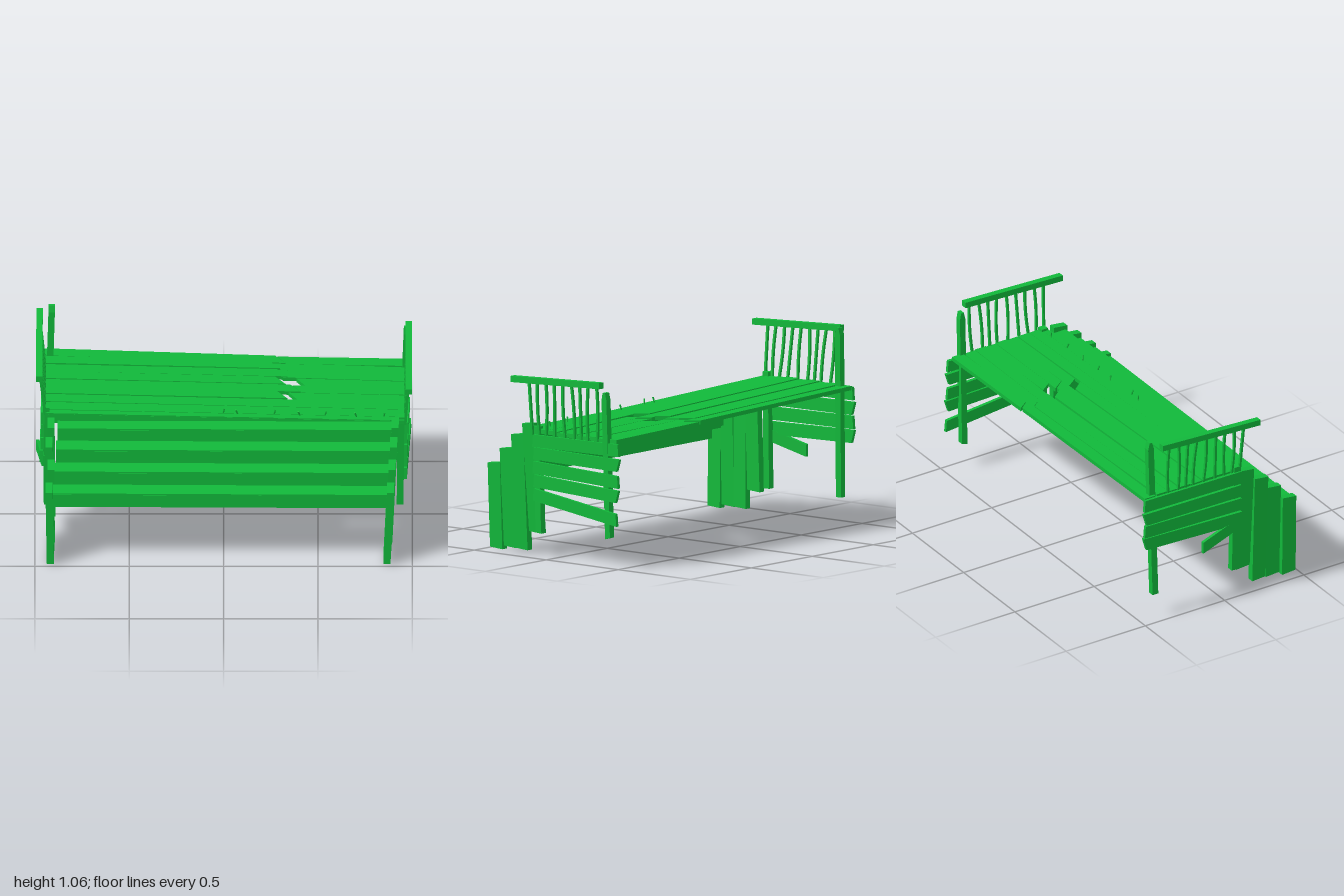
import * as THREE from 'three';

const material = new THREE.MeshStandardMaterial({ color: 0x11b83a, flatShading: true, side: THREE.DoubleSide });
const SEGMENTS = 6;
const V = (x, y, z) => new THREE.Vector3(x, y, z);

// Board from a to b; w and t are its full width and thickness vectors.
// cutA/cutB skew the ends, bow bends the middle, tip narrows end b.
function board(parent, name, a, b, w, t, { cutA = 0, cutB = 0, bow = null, tip = 1 } = {}) {
  const axis = b.clone().sub(a);
  const length = axis.length();
  const dir = axis.clone().normalize();
  if (dir.clone().cross(w).dot(t) < 0) t = t.clone().negate();
  const geometry = new THREE.BoxGeometry(1, 1, 1, SEGMENTS, 1, 1);
  const pos = geometry.attributes.position;
  for (let i = 0; i < pos.count; i++) {
    let s = pos.getX(i) + 0.5;
    const v = pos.getY(i), u = pos.getZ(i);
    if (tip < 1 && s < 0.99 && s > 0.99 - 1 / SEGMENTS) s = 1 - 0.04 / length;
    const p = a.clone().addScaledVector(axis, s);
    p.addScaledVector(w, v * (s === 1 ? tip : 1)).addScaledVector(t, u);
    p.addScaledVector(dir, v * (cutA * (1 - s) + cutB * s));
    if (bow) p.addScaledVector(bow, Math.sin(Math.PI * s));
    pos.setXYZ(i, p.x, p.y, p.z);
  }
  geometry.computeVertexNormals();
  const mesh = new THREE.Mesh(geometry, material);
  mesh.name = name;
  parent.add(mesh);
  return mesh;
}

function group(parent, name) {
  const g = new THREE.Group();
  g.name = name;
  parent.add(g);
  return g;
}

const deckY = x => 0.73 - (x + 0.95) * 0.029;

// Planked floor, snapped in two near x = 0.3
function buildDeck(root) {
  const deck = group(root, 'deck');
  // [z at left, z at break, z at right, left part ends at, right part starts at]
  const rows = [
    [-0.437, -0.42, -0.42, 0.30, 0.31],
    [-0.36, -0.362, -0.343, 0.27, 0.28],
    [-0.287, -0.292, -0.275, 0.31, 0.29],
    [-0.215, -0.215, -0.21, 0.30, 0.41],
    [-0.145, -0.15, -0.145, 0.38, 0.39],
    [-0.073, -0.078, -0.078, 0.31, 0.37],
  ];
  rows.forEach(([zl, zm, zr, end, start], i) => {
    const w = V(0, 0, 0.067), t = V(0, 0.022, 0);
    const lift = 0.004 * (i % 2);
    board(deck, 'deckPlankLeft', V(-0.95, deckY(-0.95) + lift, zl), V(end, deckY(end) + lift, zm), w, t,
      { cutB: 0.055 });
    board(deck, 'deckPlankRight', V(start, deckY(start) - 0.006, zm), V(0.96, deckY(0.96) - lift, zr),
      V(0, 0, 0.069), t, { cutA: 0.05 });
  });
  // Unbroken front planks
  [[-0.002, 0.07], [0.07, 0.07], [0.122, 0.032]].forEach(([z, width], i) =>
    board(deck, 'deckPlankFront', V(-0.945, deckY(-0.945) - 0.003 * i, z), V(0.955, deckY(0.955), z - 0.004),
      V(0, 0, width), V(0, 0.022, 0)));
  // Loose nails
  [0, 0.07, 0.27, 0.4, 0.54, 0.7, 0.85].forEach((x, i) => {
    const nail = new THREE.Mesh(new THREE.CylinderGeometry(0.005, 0.004, 0.035, 6), material);
    nail.name = 'nail';
    nail.position.set(x, deckY(x) + 0.02, 0.1 + 0.008 * (i % 2));
    nail.rotation.set(0.2, 0, i % 2 ? 0.3 : -0.15);
    deck.add(nail);
  });
}

// Four steps running the full width, closed at both ends by upright boards
function buildStairs(root) {
  const stairs = group(root, 'stairs');
  const tops = [0.45, 0.53, 0.61, 0.685];
  tops.forEach((y, i) => {
    const z = 0.438 - 0.089 * i;
    const xl = -0.905 + 0.008 * i, xr = 0.875 + 0.01 * i;
    board(stairs, 'tread', V(xl, y - 0.008, z - 0.002), V(xr, y - 0.014, z + 0.004),
      V(0, 0, 0.086), V(0, 0.018, 0));
    board(stairs, 'riser', V(xl, y - 0.045, z + 0.034), V(xr, y - 0.052, z + 0.037),
      V(0, 0.076, 0), V(0, 0, 0.018));
  });
  board(stairs, 'topRiser', V(-0.93, 0.7, 0.13), V(0.93, 0.655, 0.128), V(0, 0.055, 0), V(0, 0, 0.016));

  // [bottom y, top y, z at bottom, z at top]
  const sides = [[0.003, 0.465, 0.446, 0.446], [0.02, 0.552, 0.345, 0.356],
    [0.018, 0.637, 0.262, 0.27], [0.118, 0.705, 0.162, 0.187]];
  for (const side of [-1, 1]) {
    sides.forEach(([y0, y1, z0, z1], i) => {
      const foot = side > 0 ? 0.865 + 0.005 * i : 0.918 - 0.003 * i;
      const head = side > 0 ? 0.885 + 0.008 * i : 0.925 - 0.01 * (i % 2);
      board(stairs, 'stairSideBoard', V(side * foot, y0, z0), V(side * head, y1, z1),
        V(0, 0, 0.085), V(0.038, 0, 0), { cutA: 0.006, cutB: -0.01 });
    });
  }
}

// End wall of slats, posts and railing
function buildEnd(root, side) {
  const right = side > 0;
  const end = group(root, right ? 'rightEnd' : 'leftEnd');
  const X = x => side * x;

  // Posts
  board(end, 'frontPost', V(X(0.935), 0.135, 0.095), V(X(0.94), right ? 0.7 : 0.76, 0.108),
    V(0, 0, 0.038), V(0.036, 0, 0));
  if (right) {
    board(end, 'backPost', V(0.945, 0.15, -0.393), V(0.972, 0.935, -0.39),
      V(0, 0, 0.034), V(0.034, 0, 0), { tip: 0.5, cutA: -0.01 });
  } else {
    board(end, 'backPost', V(-0.935, 0.14, -0.405), V(-0.91, 1.055, -0.418),
      V(0, 0, 0.036), V(0.034, 0, 0), { tip: 0.4 });
  }

  // Slats: [front y, back y, front x, back x]
  const slats = right
    ? [[0.625, 0.632, 0.968, 0.968], [0.557, 0.552, 0.965, 0.97], [0.482, 0.462, 0.966, 0.972],
      [0.41, 0.385, 0.964, 0.978], [0.335, 0.26, 0.962, 0.985]]
    : [[0.695, 0.7, 0.958, 0.955], [0.615, 0.62, 0.96, 0.958], [0.535, 0.545, 0.962, 0.958],
      [0.455, 0.47, 0.966, 0.956]];
  slats.forEach(([y0, y1, x0, x1], i) =>
    board(end, 'slat', V(X(x0), y0, right ? 0.115 - 0.004 * (i % 2) : 0.13), V(X(x1), y1, -0.478),
      V(0, right ? 0.066 : 0.07, 0), V(0.018, 0, 0), { cutA: 0.006, cutB: i % 2 ? 0.02 : -0.006 }));
  if (!right) // Slat hanging by one end
    board(end, 'looseSlat', V(-0.985, 0.355, -0.13), V(-0.955, 0.425, 0.13), V(0, 0.066, 0), V(0.018, 0, 0));

  // Handrail and bent balusters
  const rail = right
    ? { a: V(0.982, 0.945, 0.25), b: V(0.98, 0.97, -0.365) }
    : { a: V(-0.978, 1.012, 0.23), b: V(-0.975, 1.04, -0.382) };
  board(end, 'handrail', rail.a, rail.b, V(0, 0.033, 0), V(0.034, 0, 0));
  for (let i = 0; i < 9; i++) {
    const z = 0.135 - 0.0585 * i;
    const s = (rail.a.z - z) / (rail.a.z - rail.b.z);
    const top = rail.a.clone().lerp(rail.b, s);
    const foot = V(X(right ? 0.962 : 0.945), right ? 0.655 : 0.72, z - 0.012 * Math.cos(i * 1.3) + 0.004);
    board(end, 'baluster', foot, top, V(0, 0, 0.012), V(0.014, 0, 0),
      { bow: V(0, 0, 0.008 * Math.sin(i * 2.1)) });
  }
}

export function createModel() {
  const root = new THREE.Group();
  root.name = 'brokenWoodenPlatform';
  buildDeck(root);
  buildStairs(root);
  buildEnd(root, 1);
  buildEnd(root, -1);
  return root;
}
